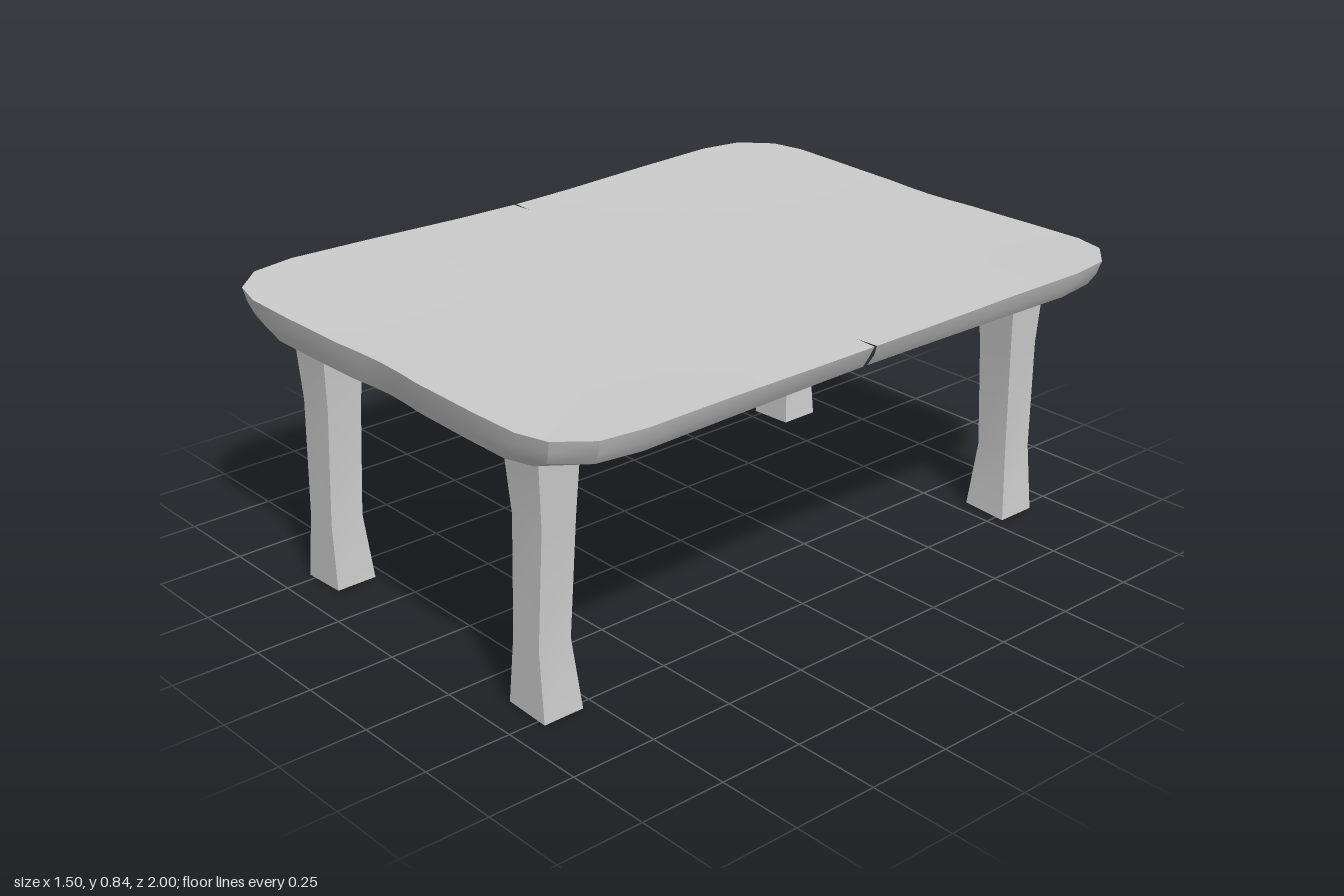
import * as THREE from 'three';
import { toCreasedNormals } from 'three/addons/utils/BufferGeometryUtils.js';

const material = new THREE.MeshStandardMaterial({ color: 0xcccccc });

// Joins equal-length rings of [x, y, z] points, ordered from top to bottom and
// each running from +x towards +z; skip(j) leaves out a column.
function loft(rings, skip = () => false) {
  const pos = [];
  const n = rings[0].length;
  const same = (p, q) => p.every((v, i) => Math.abs(v - q[i]) < 1e-6);
  const tri = (a, b, c) => {
    if (!same(a, b) && !same(b, c) && !same(a, c)) pos.push(...a, ...b, ...c);
  };
  for (let i = 0; i < rings.length - 1; i++) {
    for (let j = 0; j < n; j++) {
      if (skip(j)) continue;
      const k = (j + 1) % n;
      const [a, b, c, d] = [rings[i][j], rings[i][k], rings[i + 1][k], rings[i + 1][j]];
      tri(a, b, c);
      tri(a, c, d);
    }
  }
  const g = new THREE.BufferGeometry();
  g.setAttribute('position', new THREE.Float32BufferAttribute(pos, 3));
  return toCreasedNormals(g, 0.45);
}

// Table top: rounded, slightly wavy slab with a narrow split in each long side
function tableTop() {
  const quarter = [
    [0.735, 0], [0.738, 0.2], [0.745, 0.5], [0.752, 0.76], [0.732, 0.89], [0.655, 0.975],
    [0.56, 1], [0.4, 1], [0.28, 0.997], [0.17, 0.995], [0.08, 0.988], [0, 0.985],
  ];
  const mirrored = quarter.slice(0, -1).reverse();
  const half = [...quarter.map(([x, z]) => [x, z, 1]), ...mirrored.map(([x, z]) => [-x, z, 1])];
  const outline = [...half, ...half.map(([x, z]) => [-x, -z, -1])];

  // surface heights: corners lift a little, the underside sags in two soft ridges
  const topY = (x, z) => 0.826 + 0.011 * (x / 0.75) ** 2 * Math.sin(2.1 * z) ** 2;
  const bump = (x) => Math.max(0, 1 - ((Math.abs(x) - 0.17) / 0.14) ** 2);
  const underY = (x, z) =>
    0.732 + 0.1 * Math.max(0, Math.abs(x) - 0.6) - 0.012 * bump(x) * Math.max(0, 1 - z * z);

  // sx, sz scale the outline, gap is half the split width
  const ring = (sx, sz, gap, y) => outline.map(([x, z, side]) => {
    const px = x * sx;
    const pz = z === 0 ? side * gap : z * sz;
    return [px, y(px, pz), pz];
  });
  const steps = [0, 0.15, 0.3, 0.45, 0.6, 0.75];
  const rings = [
    ...steps.map((s) => ring(s, s, 0, topY)),
    ring(0.91, 0.91, 0, topY),
    ring(1, 1, 0.004, topY),
    ring(0.982, 0.994, 0.009, () => 0.795),
    ring(0.953, 0.985, 0.007, () => 0.762),
    ring(0.86, 0.975, 0, underY),
    ...steps.reverse().map((s) => ring(s, s, 0, underY)),
  ];
  const n = outline.length;
  return loft(rings, (j) => j === n / 2 - 1 || j === n - 1);
}

// Leg: four-sided, narrow at the ankle and flared at head and foot
function leg(mx, mz) {
  const sections = [ // inner y, outer y, inner x, outer x, inner z, outer z
    [0.738, 0.738, 0.385, 0.525, 0.778, 0.908],
    [0.53, 0.53, 0.4, 0.515, 0.79, 0.895],
    [0.2, 0.2, 0.403, 0.505, 0.806, 0.906],
    [0.006, 0, 0.385, 0.525, 0.788, 0.91],
  ];
  const rings = sections.map(([y0, y1, x0, x1, z0, z1]) => {
    const r = [[x0, y0, z0], [x1, y1, z0], [x1, y1, z1], [x0, y0, z1]]
      .map(([x, y, z]) => [x * mx, y, z * mz]);
    return mx * mz > 0 ? r : r.reverse();
  });
  // close both ends onto a centre point
  const centre = (r) => r.map(() => [0, 1, 2].map((i) => r.reduce((s, p) => s + p[i], 0) / 4));
  return loft([centre(rings[0]), ...rings, centre(rings[3])]);
}

export function createModel() {
  const group = new THREE.Group();
  group.name = 'lowTable';
  const add = (geometry, name) => {
    const mesh = new THREE.Mesh(geometry, material);
    mesh.name = name;
    group.add(mesh);
  };
  add(tableTop(), 'tableTop');
  for (const mx of [1, -1]) {
    for (const mz of [1, -1]) {
      add(leg(mx, mz), `${mz > 0 ? 'front' : 'back'}${mx > 0 ? 'Left' : 'Right'}Leg`);
    }
  }
  return group;
}
